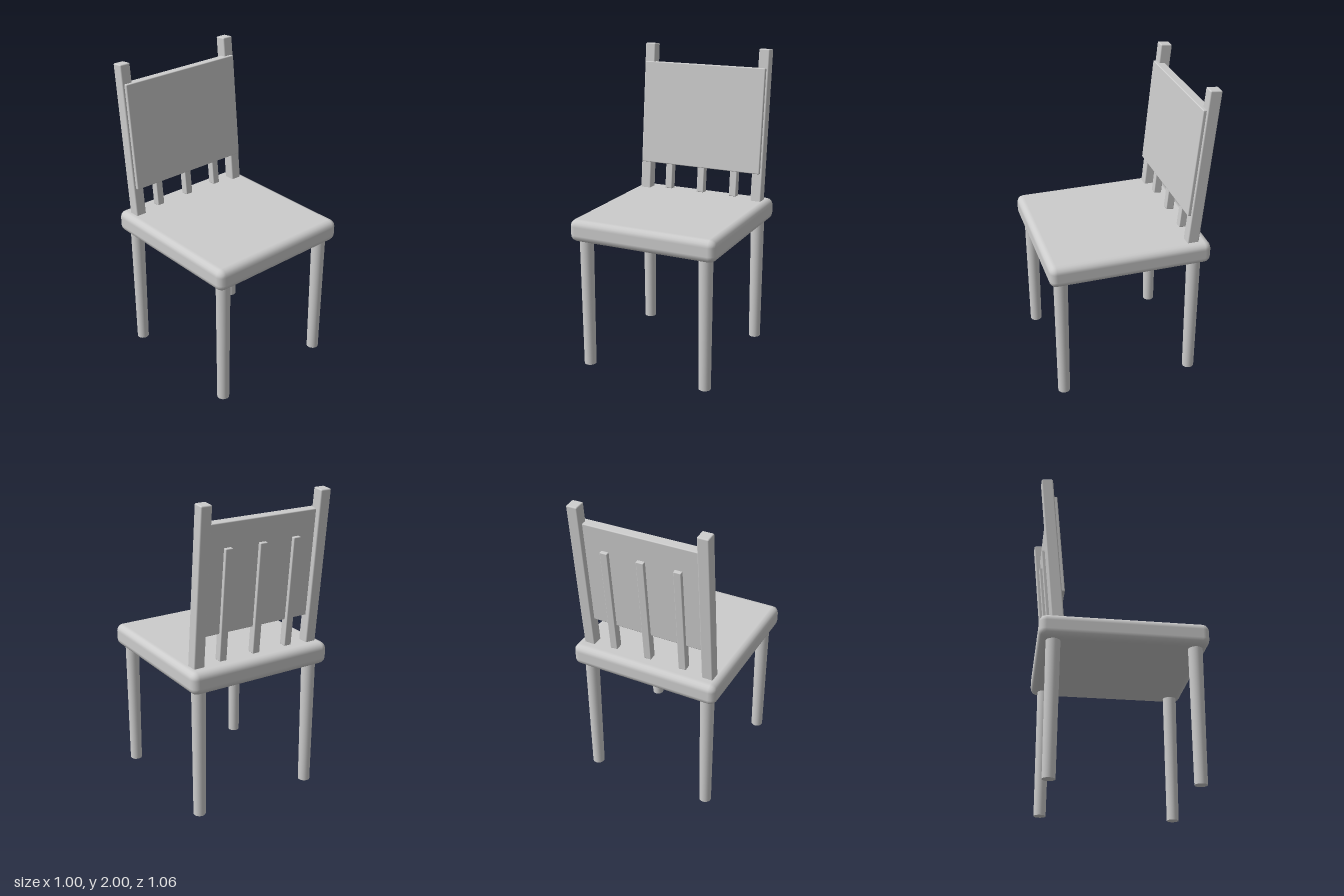
import * as THREE from 'three';
import { RoundedBoxGeometry } from 'three/addons/geometries/RoundedBoxGeometry.js';

export function createModel() {
  const chair = new THREE.Group();
  chair.name = 'chair';
  const grey = new THREE.MeshStandardMaterial({ color: 0xcccccc });
  grey.name = 'light grey';

  function add(parent, name, geometry, x, y, z) {
    const mesh = new THREE.Mesh(geometry, grey);
    mesh.name = name;
    mesh.position.set(x, y, z);
    parent.add(mesh);
    return mesh;
  }

  // Thick cushion-like seat with rounded edges
  add(chair, 'seat', new RoundedBoxGeometry(0.995, 0.145, 1.04, 2, 0.045), 0, 0.9275, 0.01);

  // Four slightly tapered round legs
  const legGeometry = new THREE.CylinderGeometry(0.045, 0.039, 0.87, 24);
  for (const side of [-1, 1]) {
    add(chair, 'frontLeg', legGeometry, side * 0.412, 0.435, 0.45);
    add(chair, 'backLeg', legGeometry, side * 0.412, 0.435, -0.42);
  }

  // Backrest, leaning back from the seat top
  const back = new THREE.Group();
  back.name = 'backrest';
  back.position.set(0, 1, -0.3975);
  back.rotation.x = -0.095;
  chair.add(back);

  // Square posts, sunk into the seat
  const postGeometry = new RoundedBoxGeometry(0.073, 1.051, 0.075, 2, 0.008);
  for (const side of [-1, 1]) {
    add(back, 'backPost', postGeometry, side * 0.413, 0.4755, 0);
  }

  // Wide panel standing proud of the posts
  add(back, 'backPanel', new RoundedBoxGeometry(0.87, 0.695, 0.062, 2, 0.006), 0, 0.53, 0.027);

  // Three slats running up behind the panel
  const slatGeometry = new RoundedBoxGeometry(0.05, 0.717, 0.052, 2, 0.005);
  for (const x of [-0.24, 0, 0.24]) {
    add(back, 'backSlat', slatGeometry, x, 0.3655, -0.001);
  }

  return chair;
}
